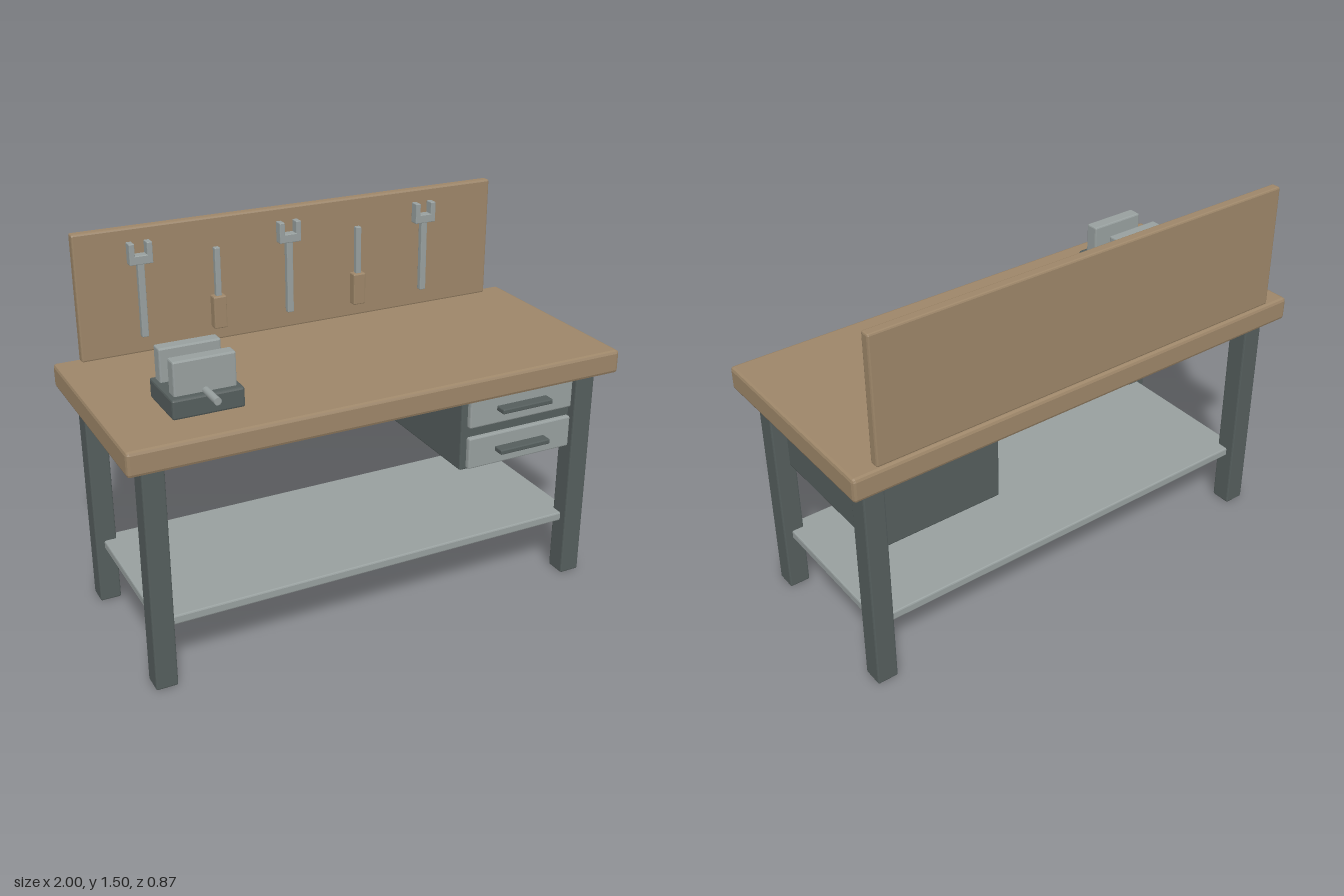
import * as THREE from 'three';
import { RoundedBoxGeometry } from 'three/addons/geometries/RoundedBoxGeometry.js';

const material = (name, color) => {
  const m = new THREE.MeshStandardMaterial({ color });
  m.name = name;
  return m;
};

// Box given by its extents on each axis, with faceted bevelled edges
function block(parent, name, mat, [x0, x1], [y0, y1], [z0, z1], bevel = 0.006) {
  const geo = new RoundedBoxGeometry(x1 - x0, y1 - y0, z1 - z0, 1, bevel);
  geo.computeVertexNormals();
  const mesh = new THREE.Mesh(geo, mat);
  mesh.name = name;
  mesh.position.set((x0 + x1) / 2, (y0 + y1) / 2, (z0 + z1) / 2);
  parent.add(mesh);
  return mesh;
}

const around = (c, width) => [c - width / 2, c + width / 2];

function subgroup(parent, name) {
  const g = new THREE.Group();
  g.name = name;
  parent.add(g);
  return g;
}

export function createModel() {
  const wood = material('wood', 0x9c8568);
  const darkSteel = material('dark steel', 0x545d5c);
  const lightSteel = material('light steel', 0x979f9e);

  const bench = new THREE.Group();
  bench.name = 'workbench';

  // Worktop and back board
  block(bench, 'worktop', wood, [-1, 1], [0.905, 1], [-0.435, 0.435], 0.013);
  block(bench, 'backBoard', wood, [-0.9, 0.9], [1, 1.5], [-0.422, -0.382], 0.007);

  // Four legs, with a shelf running into them
  for (const sx of [-1, 1]) {
    for (const sz of [-1, 1]) {
      const name = (sz > 0 ? 'front' : 'back') + (sx > 0 ? 'Left' : 'Right') + 'Leg';
      block(bench, name, darkSteel, around(sx * 0.8925, 0.085), [0, 0.905], around(sz * 0.3325, 0.085));
    }
  }
  block(bench, 'shelf', lightSteel, [-0.9, 0.9], [0.235, 0.272], [-0.34, 0.34]);

  // Drawer cabinet
  const cabinet = subgroup(bench, 'drawerCabinet');
  block(cabinet, 'cabinetBody', darkSteel, [0.35, 0.875], [0.58, 0.905], [-0.335, 0.335]);
  for (const y of [0.824, 0.652]) {
    block(cabinet, 'drawerFront', lightSteel, [0.377, 0.848], around(y, 0.13), [0.325, 0.355]);
    block(cabinet, 'drawerHandle', darkSteel, around(0.61, 0.228), around(y, 0.02), [0.352, 0.4], 0.004);
  }

  // Vise: base, two jaws and the screw through them
  const vise = subgroup(bench, 'vise');
  block(vise, 'viseBase', darkSteel, [-0.775, -0.505], [1, 1.076], [0.035, 0.268], 0.008);
  for (const z of [0.213, 0.075]) {
    block(vise, 'viseJaw', lightSteel, [-0.757, -0.523], [1.07, 1.203], around(z, 0.054));
  }
  const screw = new THREE.Mesh(new THREE.CylinderGeometry(0.014, 0.014, 0.36, 12), lightSteel);
  screw.name = 'viseScrew';
  screw.rotation.x = Math.PI / 2;
  screw.position.set(-0.64, 1.08, 0.17);
  vise.add(screw);

  // Open-ended wrenches hung on the board
  for (const x of [-0.652, -0.04, 0.572]) {
    const wrench = subgroup(bench, 'wrench');
    block(wrench, 'wrenchShaft', lightSteel, around(x, 0.027), [1.073, 1.375], [-0.377, -0.352], 0.003);
    block(wrench, 'wrenchHead', lightSteel, around(x, 0.092), [1.365, 1.4], [-0.382, -0.343], 0.003);
    for (const s of [-1, 1]) {
      block(wrench, 'wrenchJaw', lightSteel, around(x + s * 0.035, 0.022), [1.392, 1.448], [-0.382, -0.343], 0.003);
    }
  }

  // Screwdrivers between the wrenches
  for (const x of [-0.346, 0.266]) {
    const driver = subgroup(bench, 'screwdriver');
    block(driver, 'screwdriverHandle', wood, around(x, 0.054), [1.06, 1.192], [-0.382, -0.34], 0.005);
    block(driver, 'screwdriverShaft', lightSteel, around(x, 0.023), [1.185, 1.385], [-0.374, -0.351], 0.003);
  }

  return bench;
}
